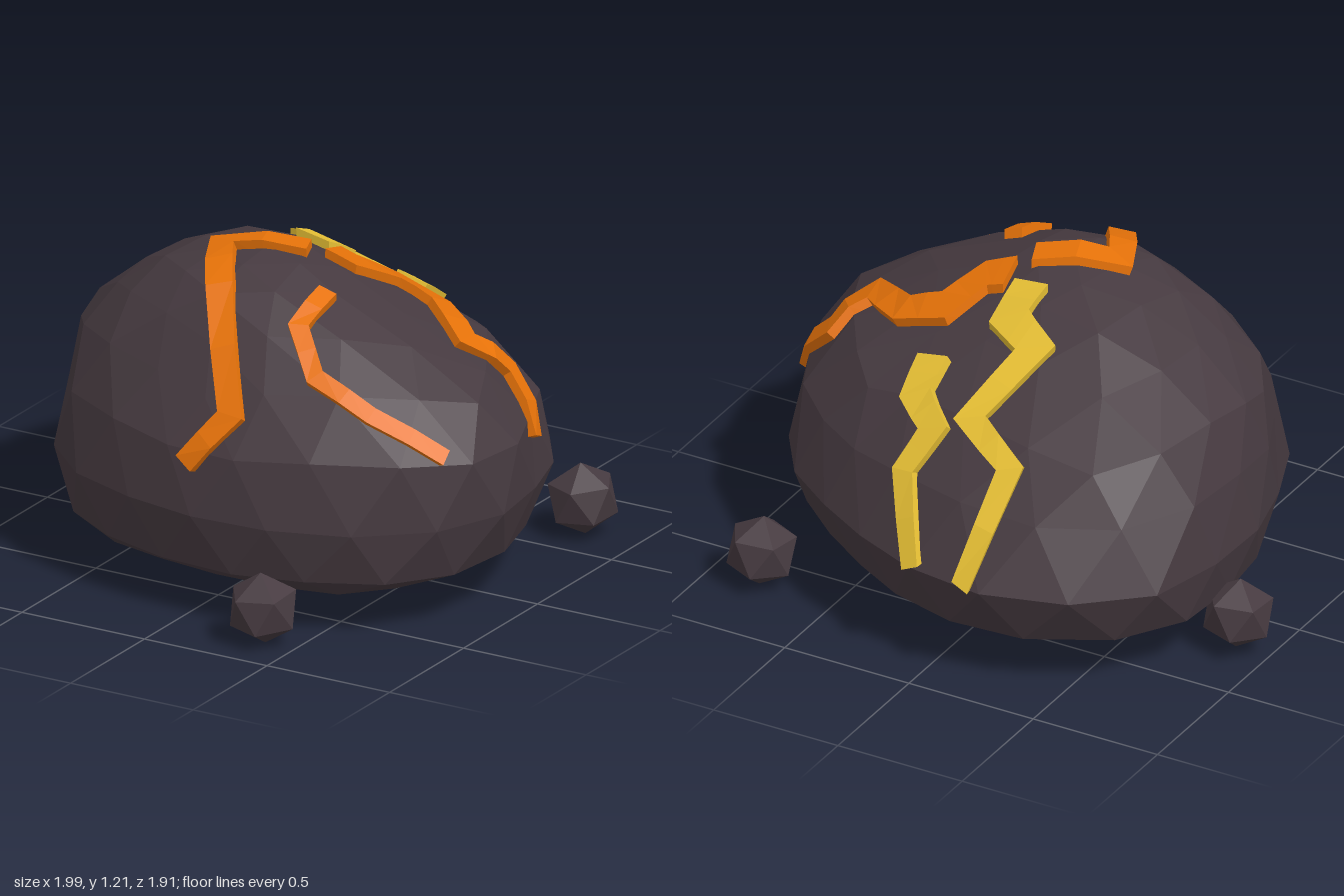
import * as THREE from 'three';

const V = (x, y, z) => new THREE.Vector3(x, y, z);
const lerp = THREE.MathUtils.lerp;
const POLE_TILT = -1.0172; // turns an icosahedron corner straight up

const rock = new THREE.MeshStandardMaterial({ name: 'dark rock', color: 0x463a40, flatShading: true });
const orange = new THREE.MeshStandardMaterial({ name: 'orange lava', color: 0xec7509, flatShading: true });
const yellow = new THREE.MeshStandardMaterial({ name: 'yellow lava', color: 0xecc436, flatShading: true });

// Widest outline of the boulder, seen from above: x, z
const OUTLINE = [
  [-0.27, -0.93], [0.1, -0.88], [0.36, -0.76], [0.6, -0.61], [0.8, -0.46], [0.93, -0.13], [1, 0.1],
  [0.98, 0.3], [0.9, 0.45], [0.79, 0.59], [0.52, 0.72], [0.1, 0.78], [-0.2, 0.73], [-0.48, 0.63],
  [-0.69, 0.44], [-0.74, 0.28], [-0.83, 0.1], [-0.86, -0.1], [-0.85, -0.3], [-0.82, -0.58], [-0.61, -0.81],
].map(([x, z]) => {
  const nx = (x - 0.07) / 0.93, nz = (z + 0.07) / 0.85;
  return [Math.atan2(nz, nx), Math.hypot(nx, nz)];
}).sort((a, b) => a[0] - b[0]);

// Levels from crown to underside: t, y, x min, x max, z min, z max
const LEVELS = [
  [0, 1.19, -0.02, -0.02, 0.13, 0.13],
  [0.088, 1.165, -0.21, 0.15, -0.06, 0.3],
  [0.176, 1.1, -0.42, 0.3, -0.22, 0.43],
  [0.264, 0.98, -0.61, 0.59, -0.39, 0.53],
  [0.345, 0.82, -0.8, 0.87, -0.66, 0.64],
  [0.43, 0.61, -0.84, 1, -0.82, 0.77],
  [0.5, 0.41, -0.87, 0.99, -0.93, 0.79],
  [0.575, 0.22, -0.83, 0.93, -0.87, 0.76],
  [0.648, 0.145, -0.69, 0.82, -0.73, 0.68],
  [0.736, 0.115, -0.48, 0.6, -0.51, 0.48],
  [0.824, 0.1, -0.3, 0.4, -0.33, 0.3],
  [1, 0.09, 0.05, 0.05, 0, 0],
];

function outlineRadius(angle) {
  const n = OUTLINE.length;
  let i = OUTLINE.findIndex((p) => p[0] > angle);
  if (i < 0) i = n;
  const a = OUTLINE[(i + n - 1) % n], b = OUTLINE[i % n];
  const a0 = i === 0 ? a[0] - 2 * Math.PI : a[0];
  const b0 = i === n ? b[0] + 2 * Math.PI : b[0];
  return lerp(a[1], b[1], (angle - a0) / (b0 - a0));
}

function levelAt(t) {
  let i = 1;
  while (i < LEVELS.length - 1 && LEVELS[i][0] < t) i++;
  const a = LEVELS[i - 1], b = LEVELS[i];
  const f = (t - a[0]) / (b[0] - a[0]);
  return a.map((v, k) => lerp(v, b[k], f));
}

// Faceted sphere reshaped by the outline and the levels
function makeBoulder() {
  const geo = new THREE.IcosahedronGeometry(1, 3).rotateX(POLE_TILT);
  const pos = geo.attributes.position;
  const p = V(0, 0, 0);
  for (let i = 0; i < pos.count; i++) {
    p.fromBufferAttribute(pos, i).normalize();
    const [, y, x0, x1, z0, z1] = levelAt(Math.acos(THREE.MathUtils.clamp(p.y, -1, 1)) / Math.PI);
    const angle = Math.atan2(p.z, p.x), r = outlineRadius(angle) * 1.005;
    pos.setXYZ(i,
      (x0 + x1) / 2 + (x1 - x0) / 2 * r * Math.cos(angle),
      y,
      (z0 + z1) / 2 + (z1 - z0) / 2 * r * Math.sin(angle));
  }
  geo.computeVertexNormals();
  geo.computeBoundingSphere();
  const mesh = new THREE.Mesh(geo, rock);
  mesh.name = 'boulder';
  return mesh;
}

// Raised strip with a box section that follows the boulder's surface
function makeCrack(boulder, name, material, points, w0, w1) {
  const core = V(0.05, 0.4, 0);
  const ray = new THREE.Raycaster();
  const project = (p) => {
    const dir = p.clone().sub(core).normalize();
    ray.set(core.clone().addScaledVector(dir, 4), dir.negate());
    const hit = ray.intersectObject(boulder)[0];
    return hit ? hit.point : p;
  };
  const normalAt = (p) => V((p.x - 0.07) / 0.86, (p.y - 0.3) / 0.78, (p.z + 0.07) / 0.72).normalize();

  const path = [];
  points.forEach((p, i) => {
    const a = V(...p);
    if (i) path.push(project(a.clone().add(V(...points[i - 1])).multiplyScalar(0.5)));
    path.push(project(a));
  });

  const verts = [], index = [], last = path.length - 1;
  path.forEach((p, i) => {
    const before = path[Math.min(i, last - 1) + 1].clone().sub(path[Math.min(i, last - 1)]).normalize();
    const after = i ? p.clone().sub(path[i - 1]).normalize() : before;
    const tangent = before.clone().add(after).normalize();
    const mitre = 1 / Math.max(0.75, tangent.dot(after));
    const n = normalAt(p);
    const side = n.clone().cross(tangent).normalize().multiplyScalar(lerp(w0, w1, i / last) / 2 * mitre);
    const left = project(p.clone().add(side)), right = project(p.clone().sub(side));
    for (const [q, h] of [[left, 0.035], [right, 0.035], [right, -0.04], [left, -0.04]]) {
      verts.push(...q.clone().addScaledVector(n, h).toArray());
    }
    if (i === last) return;
    for (let k = 0; k < 4; k++) {
      const a = i * 4 + k, b = i * 4 + (k + 1) % 4;
      index.push(a, b, b + 4, a, b + 4, a + 4);
    }
  });
  const e = last * 4;
  index.push(0, 3, 2, 0, 2, 1, e, e + 1, e + 2, e, e + 2, e + 3);

  let geo = new THREE.BufferGeometry();
  geo.setAttribute('position', new THREE.Float32BufferAttribute(verts, 3));
  geo.setIndex(index);
  geo = geo.toNonIndexed();
  geo.computeVertexNormals();
  const mesh = new THREE.Mesh(geo, material);
  mesh.name = name;
  return mesh;
}

export function createModel() {
  const group = new THREE.Group();
  group.name = 'lavaBoulder';
  const boulder = makeBoulder();
  group.add(boulder);

  // Glowing cracks: name, material, path, start width, end width
  const cracks = [
    ['frontCrack', orange, [[0.1, 1.18, 0.05], [-0.18, 1.17, 0.16],
      [-0.04, 1.09, 0.39], [0.16, 0.75, 0.65], [0.03, 0.59, 0.76]], 0.11, 0.08],
    ['leftCrack', orange, [[0.14, 1.15, -0.05], [0.23, 1.12, -0.06], [0.34, 1.07, -0.21], [0.52, 1.01, -0.21],
      [0.7, 0.93, -0.05], [0.83, 0.81, -0.17], [0.98, 0.6, -0.09]], 0.14, 0.08],
    ['frontLeftCrack', orange, [[0.28, 1.07, 0.23], [0.26, 0.97, 0.38], [0.38, 0.86, 0.48],
      [0.61, 0.79, 0.5], [0.88, 0.67, 0.43]], 0.07, 0.06],
    ['backCrack', yellow, [[0.03, 1.13, -0.09], [0.04, 1.07, -0.23], [-0.11, 1.02, -0.31],
      [-0.01, 0.87, -0.59], [-0.23, 0.78, -0.69], [-0.17, 0.42, -0.92]], 0.14, 0.07],
    ['backLeftCrack', yellow, [[0.26, 0.96, -0.4], [0.25, 0.87, -0.53], [0.12, 0.82, -0.64],
      [0.18, 0.69, -0.76], [0.04, 0.42, -0.9]], 0.13, 0.07],
  ];
  for (const c of cracks) group.add(makeCrack(boulder, ...c));

  // Loose stones around the base
  const stoneGeo = new THREE.IcosahedronGeometry(0.134, 0).rotateX(POLE_TILT);
  [[-0.885, 0.16, -0.23, 0.3], [0.375, 0.14, 0.82, 0.9], [0.79, 0.145, -0.655, 0.2]].forEach(([x, y, z, turn], i) => {
    const stone = new THREE.Mesh(stoneGeo, rock);
    stone.name = `looseStone${i + 1}`;
    stone.position.set(x, y, z);
    stone.rotation.set(0.05, turn, 0.04);
    group.add(stone);
  });
  return group;
}
